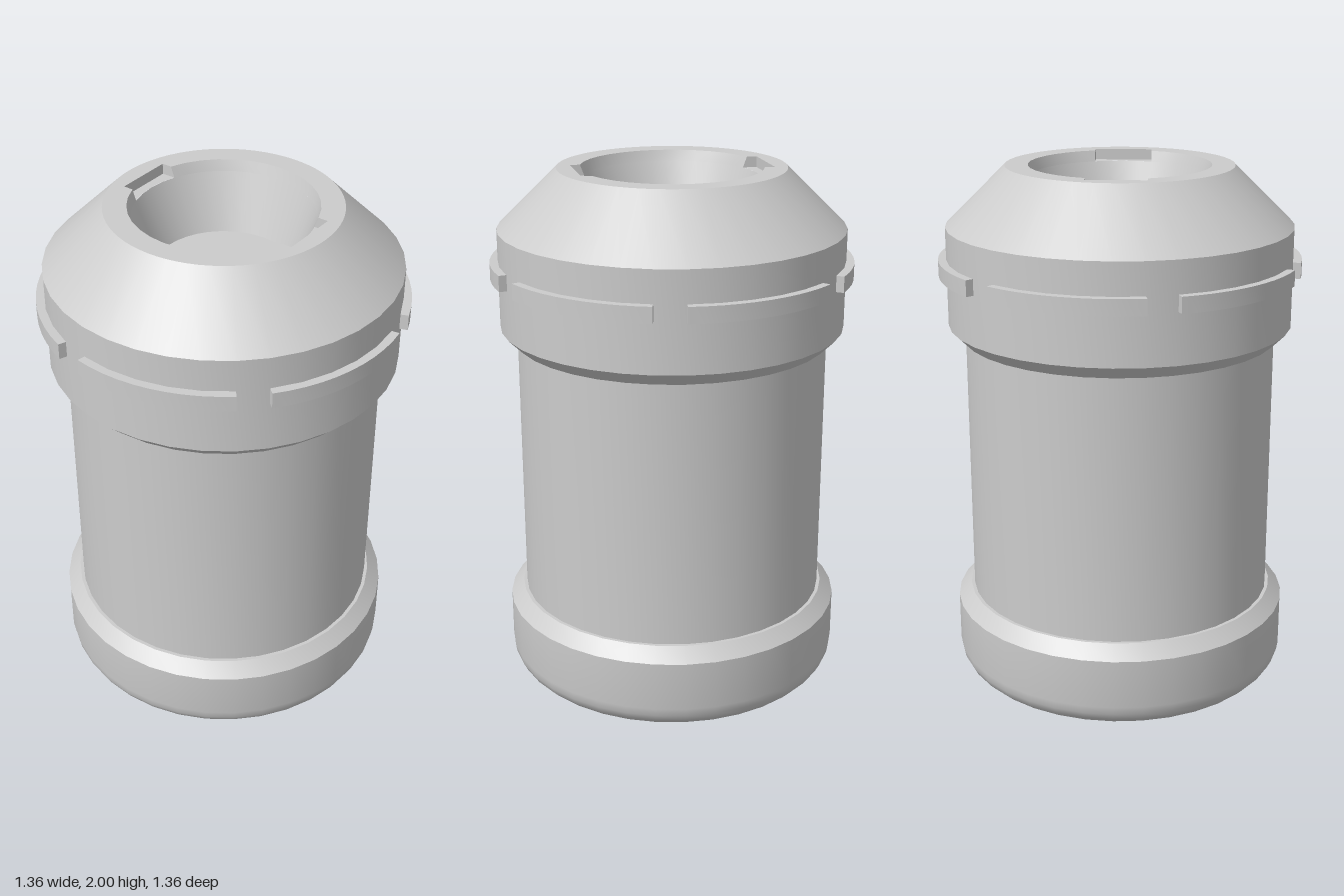
import * as THREE from 'three';
import { toCreasedNormals } from 'three/addons/utils/BufferGeometryUtils.js';
import { ParametricGeometry } from 'three/addons/geometries/ParametricGeometry.js';

const SIDES = 36;
const RIM = 0.34, NOTCH_R = 0.326, NOTCH_X = 0.36, NOTCH_Z = 0.11; // mouth and its notches
const TOP = 2, NOTCH_Y = 1.96, FLOOR_Y = 1.75;

const solid = new THREE.MeshStandardMaterial({ color: 0xcccccc });
const thin = new THREE.MeshStandardMaterial({ color: 0xcccccc, side: THREE.DoubleSide });

function addPart(group, name, geometry, material = solid) {
  const mesh = new THREE.Mesh(toCreasedNormals(geometry, 0.6), material);
  mesh.name = name;
  group.add(mesh);
  return mesh;
}

const lathe = (points) =>
  new THREE.LatheGeometry(points.map(([r, y]) => new THREE.Vector2(r, y)), SIDES);

// Points along the mouth from one notch to the other, on the +y half of the plan
function mouthArc(r, steps = 14) {
  const a = Math.asin(NOTCH_Z / r);
  return Array.from({ length: steps + 1 }, (_, i) => {
    const t = a + (Math.PI - 2 * a) * i / steps;
    return new THREE.Vector2(r * Math.cos(t), r * Math.sin(t));
  });
}

// Flat plan shape laid level at height y
function level(shape, y) {
  return new THREE.ShapeGeometry(shape, SIDES).rotateX(-Math.PI / 2).translate(0, y, 0);
}

function notch(side) {
  const group = new THREE.Group();
  group.name = side > 0 ? 'leftNotch' : 'rightNotch';
  const a = Math.asin(NOTCH_Z / NOTCH_R);

  const floor = new THREE.Shape();
  floor.moveTo(NOTCH_X, -NOTCH_Z);
  floor.lineTo(NOTCH_X, NOTCH_Z);
  floor.absarc(0, 0, NOTCH_R, a, -a, true);
  addPart(group, 'notchFloor', level(floor, NOTCH_Y), thin);

  const back = new THREE.PlaneGeometry(2 * NOTCH_Z, TOP - NOTCH_Y);
  back.rotateY(-Math.PI / 2).translate(NOTCH_X, (TOP + NOTCH_Y) / 2, 0);
  addPart(group, 'notchBack', back, thin);

  const cheek = new THREE.Shape([
    new THREE.Vector2(NOTCH_R * Math.cos(a), NOTCH_Y),
    new THREE.Vector2(NOTCH_X, NOTCH_Y),
    new THREE.Vector2(NOTCH_X, TOP),
    new THREE.Vector2(Math.sqrt(RIM ** 2 - NOTCH_Z ** 2), TOP),
  ]);
  for (const z of [-NOTCH_Z, NOTCH_Z]) {
    addPart(group, 'notchCheek', new THREE.ShapeGeometry(cheek).translate(0, 0, z), thin);
  }
  group.rotation.y = side > 0 ? 0 : Math.PI;
  return group;
}

export function createModel() {
  const model = new THREE.Group();
  model.name = 'canister';

  // Base cap: rounded foot, chamfered shoulder
  const foot = [[0, 0]];
  for (let i = 0; i <= 5; i++) {
    const t = (i / 5) * Math.PI / 2;
    foot.push([0.55 + 0.1 * Math.sin(t), 0.1 - 0.1 * Math.cos(t)]);
  }
  addPart(model, 'baseCap', lathe([...foot, [0.65, 0.29], [0.6, 0.34], [0.57, 0.34]]));

  // Straight barrel between the two caps
  addPart(model, 'barrel', lathe([[0.587, 0.32], [0.587, 1.38]]));

  // Head: chamfered lower edge, straight band, sloping shoulder
  addPart(model, 'head', lathe([[0.57, 1.36], [0.6, 1.36], [0.65, 1.41], [0.65, 1.78], [0.425, TOP]]));

  // Flat rim around the notched mouth
  const rim = new THREE.Shape().absarc(0, 0, 0.425, 0, Math.PI * 2);
  const half = mouthArc(RIM);
  const notchEnd = (s) => [
    new THREE.Vector2(-s * NOTCH_X, s * NOTCH_Z),
    new THREE.Vector2(-s * NOTCH_X, -s * NOTCH_Z),
  ];
  rim.holes.push(new THREE.Path([
    ...half, ...notchEnd(1),
    ...half.map((p) => p.clone().negate()), ...notchEnd(-1),
  ]));
  addPart(model, 'rim', level(rim, TOP));

  // Tapered bowl inside the mouth
  addPart(model, 'bowl', lathe([[NOTCH_R, NOTCH_Y], [0.25, FLOOR_Y], [0, FLOOR_Y]]));

  // Upper bowl wall, interrupted by the notches
  for (const s of [1, -1]) {
    const wall = new ParametricGeometry((u, v, target) => {
      const r = RIM + (NOTCH_R - RIM) * v;
      const a = Math.asin(NOTCH_Z / r);
      const t = a + (Math.PI - 2 * a) * u;
      target.set(r * Math.cos(t), TOP + (NOTCH_Y - TOP) * v, s * r * Math.sin(t));
    }, 14, 1);
    addPart(model, s > 0 ? 'frontMouthWall' : 'backMouthWall', wall, thin);
    model.add(notch(s));
  }

  // Six curved ribs around the head
  const rib = new THREE.Shape();
  const start = THREE.MathUtils.degToRad(20), end = THREE.MathUtils.degToRad(70);
  rib.absarc(0, 0, 0.68, start, end, false);
  rib.absarc(0, 0, 0.63, end, start, true);
  const ribGeometry = new THREE.ExtrudeGeometry(rib, { depth: 0.06, bevelEnabled: false, curveSegments: 5 });
  ribGeometry.rotateX(-Math.PI / 2).translate(0, 1.6, 0);
  for (let i = 0; i < 6; i++) {
    addPart(model, 'rib', ribGeometry).rotation.y = i * Math.PI / 3;
  }
  return model;
}
